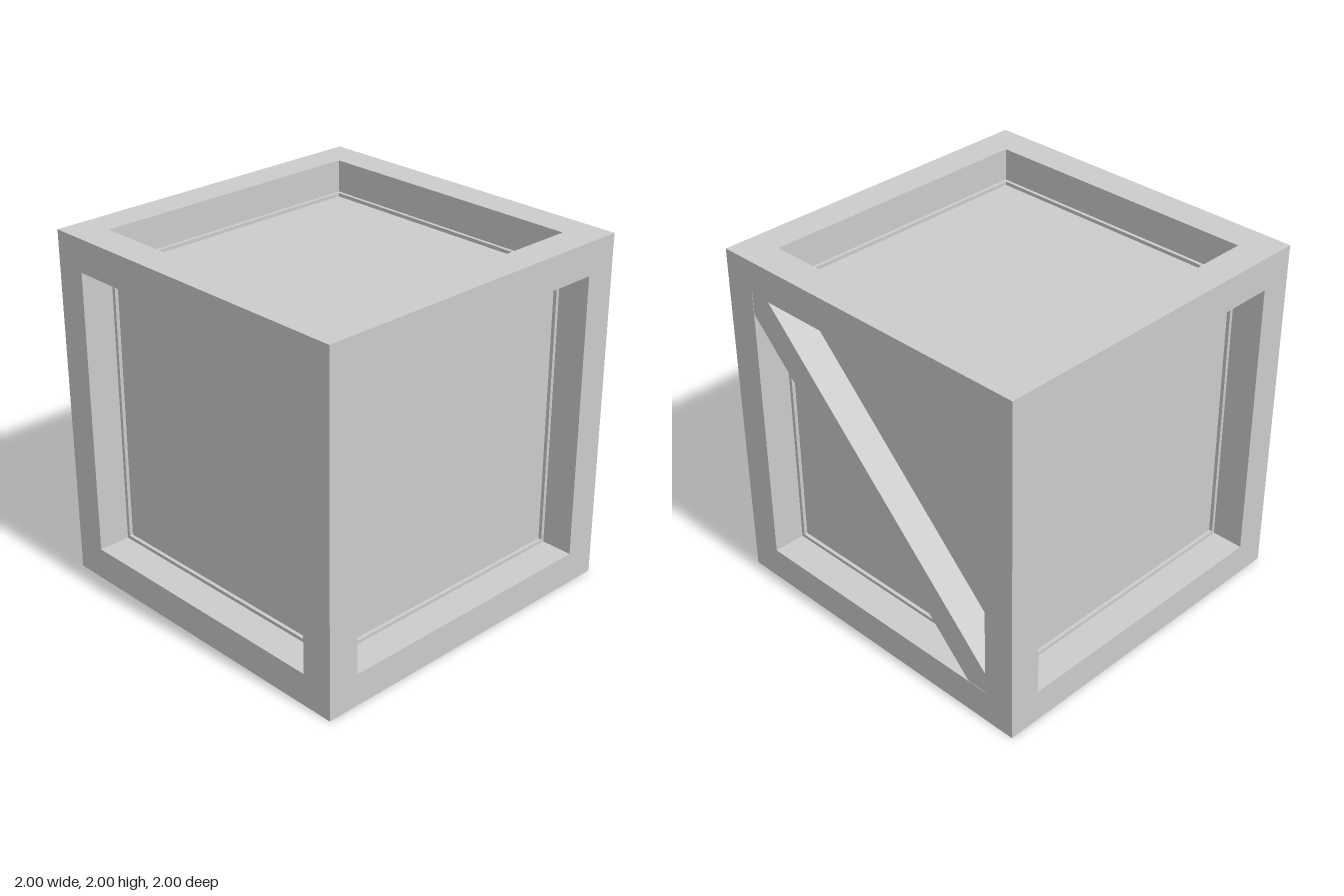
import * as THREE from 'three';

const OUTER = 1, FRAME = 0.815, PANEL = 0.795; // half sizes of the nested cubes
const material = new THREE.MeshStandardMaterial({ color: 0xcccccc, flatShading: true });

function box(name, w, h, d, x, y, z) {
  const mesh = new THREE.Mesh(new THREE.BoxGeometry(w, h, d), material);
  mesh.name = name;
  mesh.position.set(x, y, z);
  return mesh;
}

// Twelve square beams along the edges of a cube, between half sizes inner and outer
function cubeFrame(name, outer, inner) {
  const group = new THREE.Group();
  group.name = name;
  const t = outer - inner, c = (outer + inner) / 2;
  for (const a of [-c, c]) {
    for (const b of [-c, c]) {
      group.add(box(name + 'Post', t, 2 * outer, t, a, 0, b));
      group.add(box(name + 'CrossRail', 2 * inner, t, t, 0, a, b));
      group.add(box(name + 'SideRail', t, t, 2 * inner, a, b, 0));
    }
  }
  return group;
}

export function createModel() {
  const crate = new THREE.Group();
  crate.name = 'crate';
  const body = new THREE.Group();
  body.name = 'crateBody';
  body.position.y = OUTER;
  crate.add(body);

  // Heavy outer frame, and the thin lip that steps down to the panels
  body.add(cubeFrame('frame', OUTER, FRAME));
  body.add(cubeFrame('lip', FRAME, PANEL));

  // Recessed panels on all six sides
  body.add(box('panels', 2 * PANEL, 2 * PANEL, 2 * PANEL, 0, 0, 0));

  // Diagonal brace across the back, its ends buried in the frame
  const brace = box('backBrace', 2.4, 0.17, 0.178, 0, 0, -0.909);
  brace.rotation.z = Math.PI / 4;
  body.add(brace);

  return crate;
}
